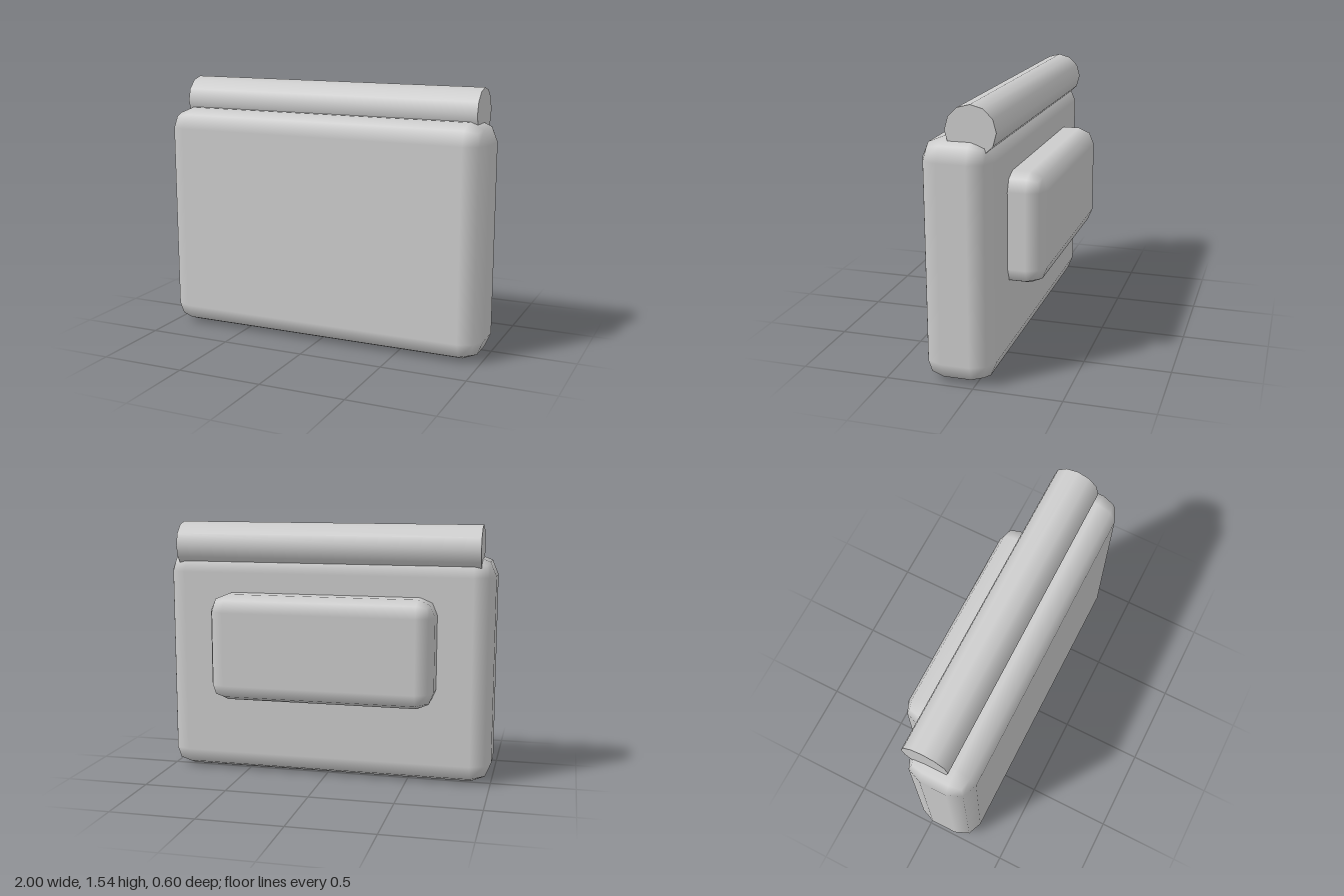
import * as THREE from 'three';
import { RoundedBoxGeometry } from 'three/addons/geometries/RoundedBoxGeometry.js';

export function createModel() {
  const model = new THREE.Group();
  const lightGrey = new THREE.MeshStandardMaterial({ color: 0xcccccc });
  lightGrey.name = 'lightGrey';

  const add = (name, geometry, x, y, z) => {
    const mesh = new THREE.Mesh(geometry, lightGrey);
    mesh.name = name;
    mesh.position.set(x, y, z);
    model.add(mesh);
    return mesh;
  };

  // Main slab with coarse rounded edges
  add('body', new RoundedBoxGeometry(2, 1.36, 0.4, 1, 0.12), 0, 0.68, 0.1);

  // Smaller pocket on the back, sunk into the slab
  add('backPocket', new RoundedBoxGeometry(1.35, 0.64, 0.32, 1, 0.1), 0, 0.8, -0.14);

  // Roll lying along the top edge
  const roll = add('topRoll', new THREE.CylinderGeometry(0.14, 0.14, 1.84, 12), 0, 1.4, 0.02);
  roll.rotation.z = Math.PI / 2;

  return model;
}
